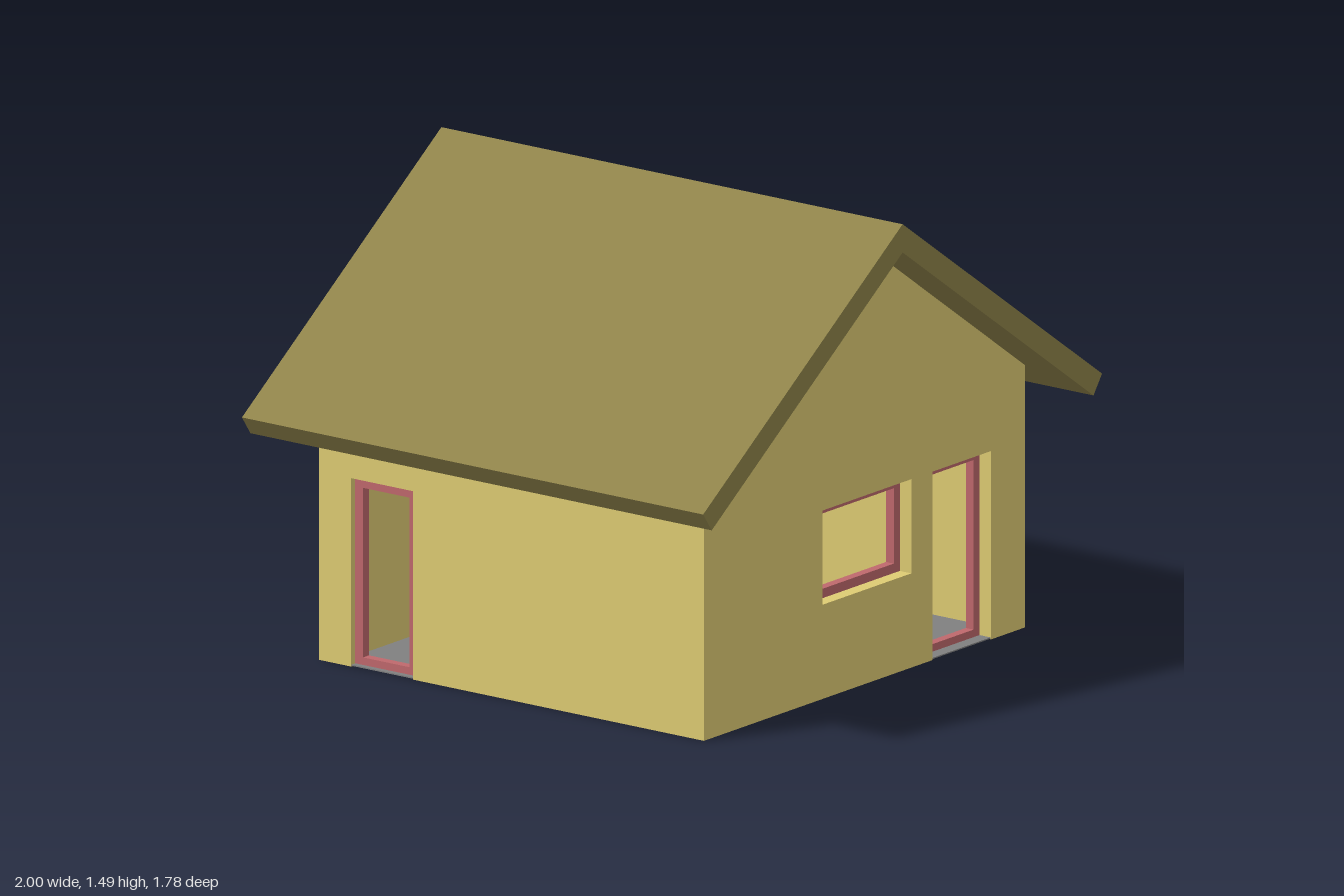
import * as THREE from 'three';

const HALF_X = 0.805, HALF_Z = 0.745;      // outer faces of the walls
const WALL = 0.075;                        // wall thickness
const EAVE = 0.835, RIDGE = 1.40;          // wall heights under the roof
const FRAME_W = 0.03, FRAME_D = 0.03;      // window and door frame section

const paint = (color) => new THREE.MeshStandardMaterial({ color, flatShading: true });

function rectangle(PathType, x0, y0, x1, y1) {
  const path = new PathType();
  path.moveTo(x0, y0);
  path.lineTo(x1, y0);
  path.lineTo(x1, y1);
  path.lineTo(x0, y1);
  path.closePath();
  return path;
}

function extrude(shape, depth, material, name) {
  const geometry = new THREE.ExtrudeGeometry(shape, { depth, bevelEnabled: false });
  const mesh = new THREE.Mesh(geometry, material);
  mesh.name = name;
  return mesh;
}

// A wall in its own plane, with openings [x0, y0, x1, y1] and a frame in each.
// Openings that reach the ground become notches, the others become holes.
function buildWall(name, top, halfWidth, openings, frameZ, mats) {
  const group = new THREE.Group();
  group.name = name;
  const shape = new THREE.Shape();
  shape.moveTo(-halfWidth, 0);
  for (const [x0, y0, x1, y1] of openings) {
    if (y0 > 0) {
      shape.holes.push(rectangle(THREE.Path, x0, y0, x1, y1));
      continue;
    }
    shape.lineTo(x0, 0);
    shape.lineTo(x0, y1);
    shape.lineTo(x1, y1);
    shape.lineTo(x1, 0);
  }
  shape.lineTo(halfWidth, 0);
  top.forEach(([x, y]) => shape.lineTo(x, y));
  shape.closePath();
  group.add(extrude(shape, WALL, mats.wall, name + 'Panel'));

  for (const [x0, y0, x1, y1] of openings) {
    const frame = rectangle(THREE.Shape, x0, y0, x1, y1);
    frame.holes.push(rectangle(THREE.Path,
      x0 + FRAME_W, y0 + FRAME_W, x1 - FRAME_W, y1 - FRAME_W));
    const mesh = extrude(frame, FRAME_D, mats.frame, name + 'OpeningFrame');
    mesh.position.z = frameZ;
    group.add(mesh);
  }
  return group;
}

export function createModel() {
  const house = new THREE.Group();
  house.name = 'house';
  const mats = {
    wall: paint(0xdecb73),
    frame: paint(0xbf686c),
    roof: paint(0x8f834a),
    floor: paint(0x808080),
  };

  // Gable walls: front with window and door, back with a wide opening
  const gable = [[HALF_X, EAVE], [0, RIDGE], [-HALF_X, EAVE]];
  const front = buildWall('frontWall', gable, HALF_X,
    [[-0.21, 0.3, 0.235, 0.6], [0.34, 0, 0.635, 0.6]], 0, mats);
  front.position.z = HALF_Z - WALL;
  const back = buildWall('backWall', gable, HALF_X,
    [[-0.32, 0, 0.4, 0.6]], WALL - FRAME_D, mats);
  back.position.z = -HALF_Z;
  house.add(front, back);

  // Side walls fit between the gables; each has a narrow tall opening
  const sideHalf = HALF_Z - WALL;
  const sideTop = [[sideHalf, EAVE], [-sideHalf, EAVE]];
  const left = buildWall('leftWall', sideTop, sideHalf,
    [[-0.59, 0, -0.35, 0.6]], 0.02, mats);
  left.position.x = HALF_X;
  const right = buildWall('rightWall', sideTop, sideHalf,
    [[-0.62, 0, -0.38, 0.6]], WALL - FRAME_D - 0.02, mats);
  right.position.x = -HALF_X + WALL;
  for (const side of [left, right]) {
    side.rotation.y = -Math.PI / 2;
    house.add(side);
  }

  // Thin floor, just above the underside of the walls
  const floor = new THREE.Mesh(
    new THREE.BoxGeometry(2 * HALF_X - 0.004, 0.004, 2 * HALF_Z - 0.004), mats.floor);
  floor.name = 'floor';
  floor.position.y = 0.004;
  house.add(floor);

  // Roof: a chevron profile run from front to back
  const profile = [[0, RIDGE], [0.957, 0.73], [1, 0.79], [0, 1.49], [-1, 0.79], [-0.957, 0.73]];
  const roofShape = new THREE.Shape(profile.map(([x, y]) => new THREE.Vector2(x, y)));
  const roofLength = 1.785;
  const roof = extrude(roofShape, roofLength, mats.roof, 'roof');
  roof.position.z = -roofLength / 2;
  house.add(roof);

  return house;
}
